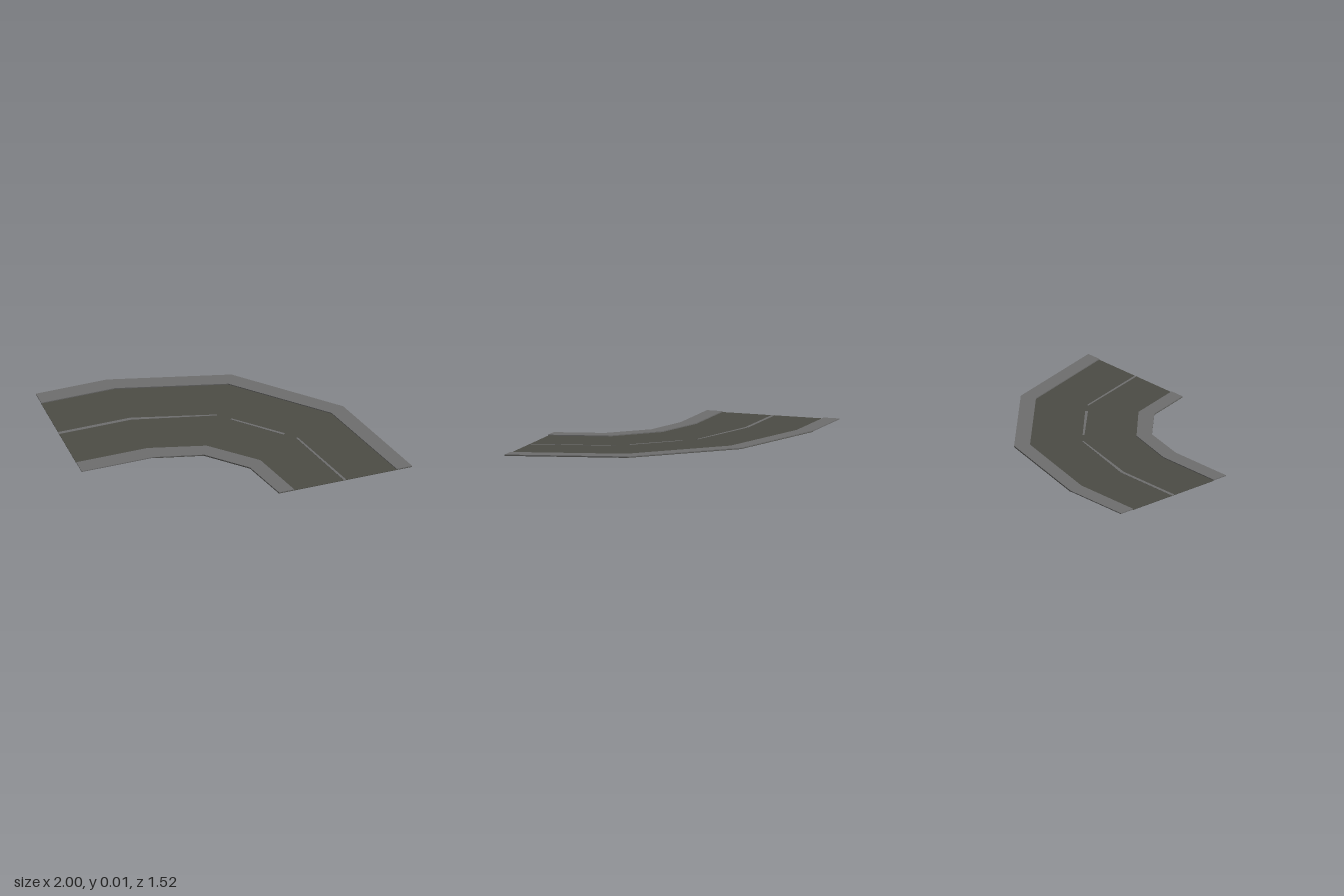
import * as THREE from 'three';

const ROAD_TOP = 0.003;
const KERB_TOP = 0.009;

// Plan outlines as [x, z], from the left end of the bend to the front end
const outerEdge = [[-1, -0.76], [-0.525, -0.76], [0.237, -0.556], [0.793, 0], [0.995, 0.755]];
const outerKerb = [[-1, -0.655], [-0.51, -0.655], [0.185, -0.468], [0.70, 0.045], [0.892, 0.755]];
const innerKerb = [[-1, 0.028], [-0.525, 0.028], [-0.163, 0.125], [0.108, 0.385], [0.207, 0.755]];
const innerEdge = [[-1, 0.133], [-0.525, 0.133], [-0.21, 0.213], [0.02, 0.44], [0.105, 0.755]];

// Flat slab from a plan outline, between two heights
function slab(name, points, bottom, top, material) {
  const shape = new THREE.Shape(points.map(([x, z]) => new THREE.Vector2(x, -z)));
  const geometry = new THREE.ExtrudeGeometry(shape, { depth: top - bottom, bevelEnabled: false });
  geometry.rotateX(-Math.PI / 2);
  geometry.translate(0, bottom, 0);
  const mesh = new THREE.Mesh(geometry, material);
  mesh.name = name;
  return mesh;
}

const between = (a, b) => [...a, ...[...b].reverse()];

export function createModel() {
  const asphalt = new THREE.MeshStandardMaterial({ color: 0x4c4c45 });
  asphalt.name = 'asphalt';
  const concrete = new THREE.MeshStandardMaterial({ color: 0x6e6e6e });
  concrete.name = 'concrete';

  const group = new THREE.Group();
  group.name = 'curvedRoad';

  // Road bed: carriageway width on the straight, full width under the bend
  const bedOuter = [...outerKerb.slice(0, 2), ...outerEdge.slice(1)];
  const bedInner = [...innerKerb.slice(0, 2), ...innerEdge.slice(1)];
  group.add(slab('roadBed', between(bedOuter, bedInner), 0, ROAD_TOP, asphalt));

  // Raised pavements along both sides
  group.add(slab('outerPavement', between(outerEdge, outerKerb), ROAD_TOP, KERB_TOP, concrete));
  group.add(slab('innerPavement', between(innerKerb, innerEdge), ROAD_TOP, KERB_TOP, concrete));

  // Centre line: [start, end, start width, end width]
  const dashes = [
    [[-1, -0.315], [-0.52, -0.315], 0.022, 0.022],
    [[-0.52, -0.315], [0.01, -0.176], 0.022, 0.01],
    [[0.08, -0.107], [0.345, 0.157], 0.012, 0.018],
    [[0.408, 0.222], [0.547, 0.755], 0.012, 0.016],
  ];
  const centreLine = new THREE.Group();
  centreLine.name = 'centreLine';
  for (const [[x0, z0], [x1, z1], w0, w1] of dashes) {
    const length = Math.hypot(x1 - x0, z1 - z0);
    const nx = (z0 - z1) / length / 2, nz = (x1 - x0) / length / 2;
    const outline = [
      [x0 - nx * w0, z0 - nz * w0], [x1 - nx * w1, z1 - nz * w1],
      [x1 + nx * w1, z1 + nz * w1], [x0 + nx * w0, z0 + nz * w0],
    ];
    centreLine.add(slab('lineDash', outline, ROAD_TOP, ROAD_TOP + 0.001, concrete));
  }
  group.add(centreLine);
  return group;
}
